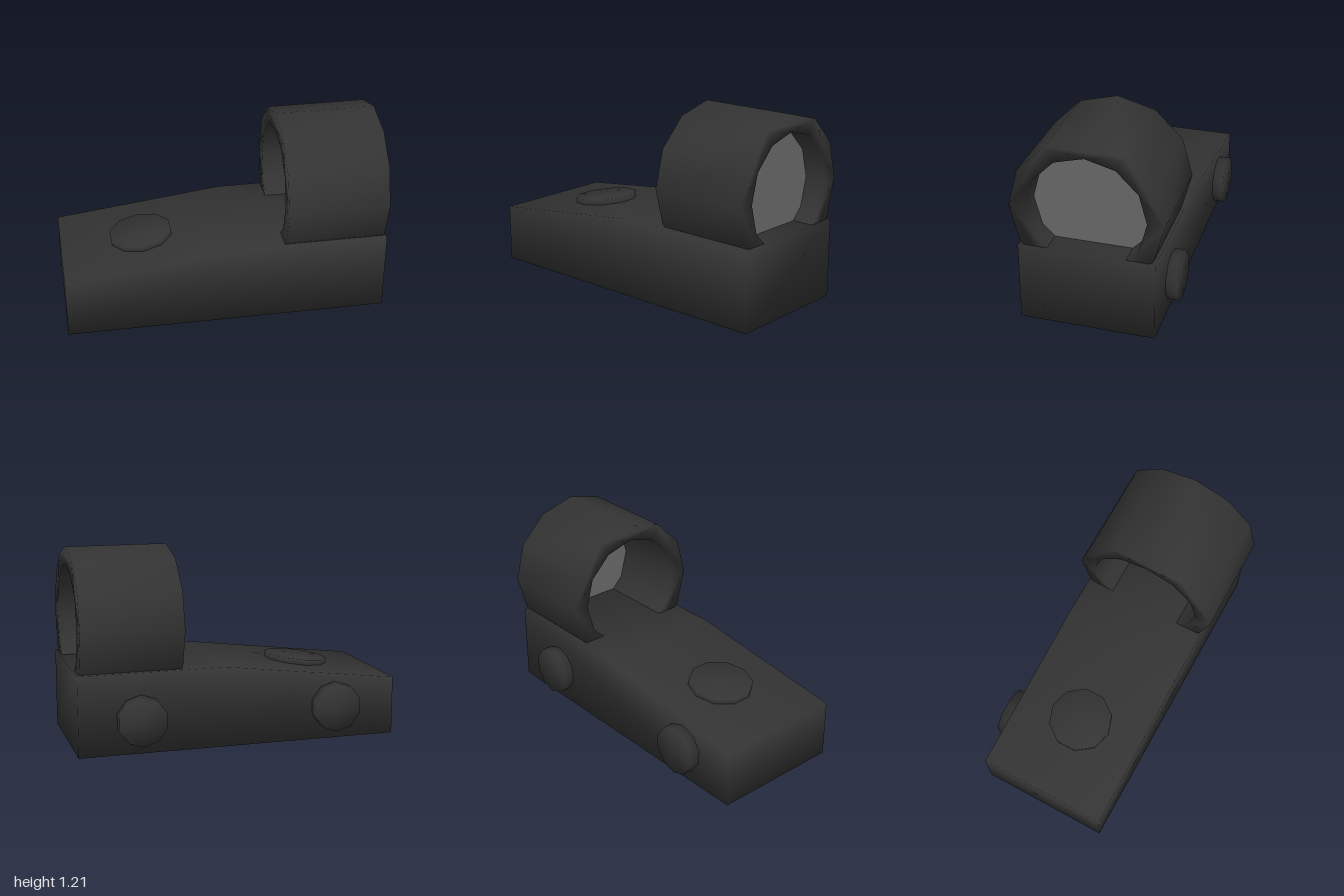
import * as THREE from 'three';
import { mergeVertices } from 'three/addons/utils/BufferGeometryUtils.js';

const dark = new THREE.MeshStandardMaterial({ color: 0x333333 });
const glass = new THREE.MeshStandardMaterial({ color: 0x666666, side: THREE.DoubleSide });

// Shares corners so shading runs smoothly over every edge
function weld(geometry) {
  geometry.deleteAttribute('normal');
  geometry.deleteAttribute('uv');
  const welded = mergeVertices(geometry, 1e-4);
  welded.computeVertexNormals();
  return welded;
}

function addMesh(parent, name, geometry, material = dark) {
  const mesh = new THREE.Mesh(geometry, material);
  mesh.name = name;
  parent.add(mesh);
  return mesh;
}

// Regular polygon with one corner pointing up
function polygon(radius, sides) {
  return Array.from({ length: sides }, (_, i) => {
    const a = Math.PI / 2 + (i / sides) * Math.PI * 2;
    return new THREE.Vector2(Math.cos(a) * radius, Math.sin(a) * radius);
  });
}

function button(radius, height) {
  return weld(new THREE.CylinderGeometry(radius, radius, height, 10));
}

export function createModel() {
  const group = new THREE.Group();
  const midZ = 0.01;

  // Base block with a top that slopes down toward -x
  const profile = new THREE.Shape([
    [-1, 0], [1, 0], [1, 0.493], [0.08, 0.493], [-1, 0.36],
  ].map(([x, y]) => new THREE.Vector2(x, y)));
  const base = new THREE.ExtrudeGeometry(profile, { depth: 0.82, bevelEnabled: false });
  base.translate(0, 0, -0.4);
  addMesh(group, 'base', weld(base));

  // Twelve-sided lens housing, sunk into the base
  const ring = new THREE.Shape(polygon(0.46, 12));
  ring.holes.push(new THREE.Path(polygon(0.357, 12)));
  const housing = new THREE.ExtrudeGeometry(ring, { depth: 0.625, bevelEnabled: false });
  housing.rotateY(Math.PI / 2);
  addMesh(group, 'lensHousing', weld(housing)).position.set(0.36, 0.745, midZ);

  // Lens pane set back from the +x rim
  const pane = new THREE.ShapeGeometry(new THREE.Shape(polygon(0.357, 12)));
  pane.rotateY(Math.PI / 2);
  addMesh(group, 'lens', pane, glass).position.set(0.85, 0.745, midZ);

  // Round cover lying on the slope
  const cover = addMesh(group, 'topCover', button(0.2, 0.07));
  cover.position.set(-0.492, 0.421, midZ);
  cover.rotation.z = Math.atan2(0.133, 1.08);

  // Two round buttons on the back face
  for (const [name, x] of [['leftButton', 0.622], ['rightButton', -0.605]]) {
    const knob = addMesh(group, name, button(0.152, 0.1));
    knob.rotation.x = -Math.PI / 2;
    knob.position.set(x, 0.208, -0.42);
  }

  return group;
}
